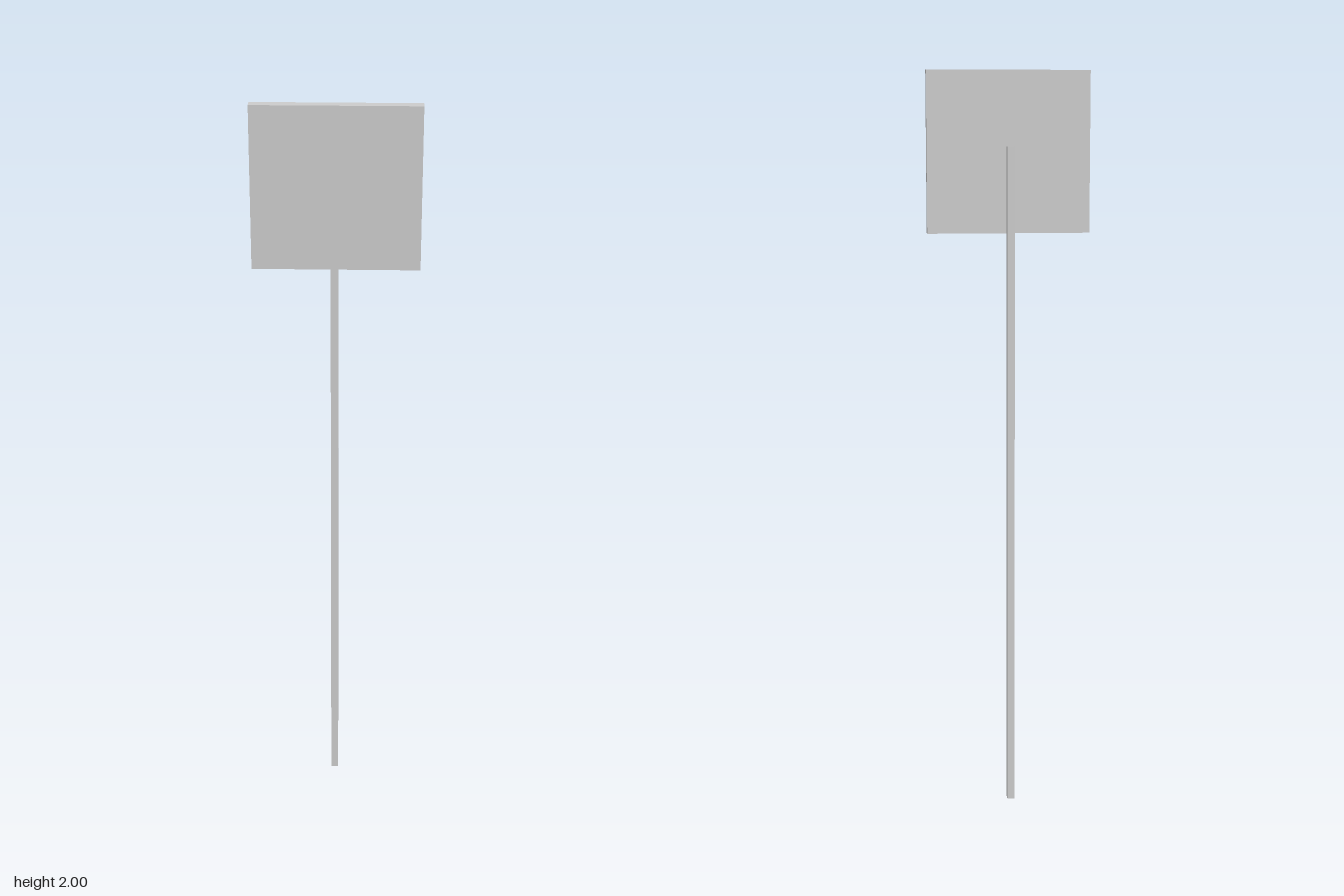
import * as THREE from 'three';

export function createModel() {
  const model = new THREE.Group();
  const material = new THREE.MeshStandardMaterial({ color: 0xcccccc, flatShading: true });

  // Box given by its lower and upper corners
  const addBox = (name, [x0, y0, z0], [x1, y1, z1]) => {
    const mesh = new THREE.Mesh(new THREE.BoxGeometry(x1 - x0, y1 - y0, z1 - z0), material);
    mesh.position.set((x0 + x1) / 2, (y0 + y1) / 2, (z0 + z1) / 2);
    mesh.name = name;
    model.add(mesh);
  };

  // Square sign panel
  addBox('signPanel', [-0.215, 1.578, -0.005], [0.215, 2, 0.0245]);
  // Square post fixed to the back of the panel, slightly off centre
  addBox('post', [-0.0145, 0, -0.0245], [0.0055, 1.804, -0.005]);

  return model;
}
